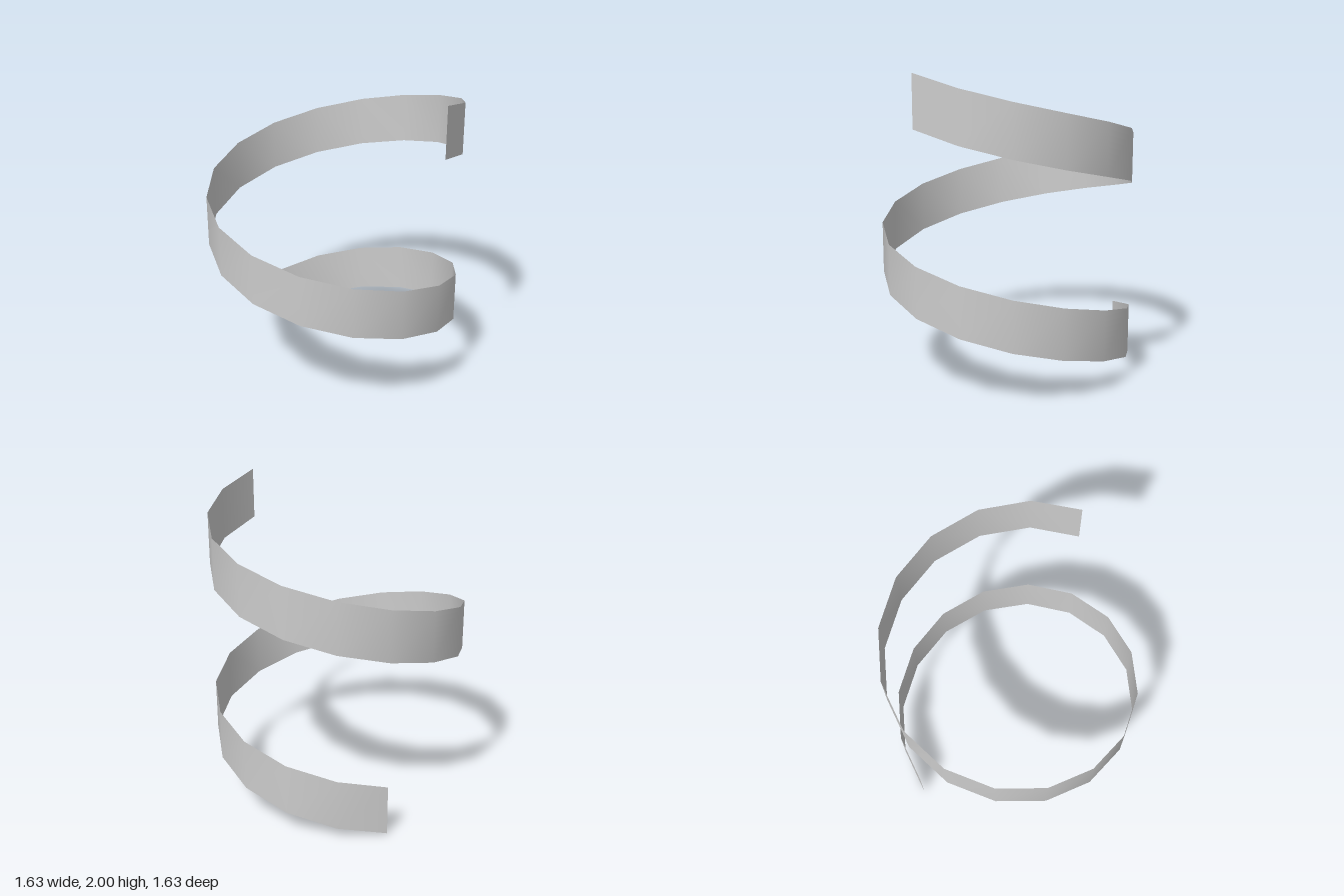
import * as THREE from 'three';

const RADIUS = 0.817;
const BAND = 0.33; // vertical width of the ribbon
const STEPS = 23; // sixteen facets per turn
const STEP_ANGLE = Math.PI / 8;
const RISE = (2 - BAND) / STEPS;

// Vertical strip swept up a helix, from just left of the back centre
function helicalRibbon() {
  const positions = [];
  const index = [];
  for (let i = 0; i <= STEPS; i++) {
    const a = (i - 1) * STEP_ANGLE;
    const x = RADIUS * Math.sin(a);
    const z = -RADIUS * Math.cos(a);
    positions.push(x, i * RISE, z, x, i * RISE + BAND, z);
    if (i < STEPS) {
      const b = i * 2;
      index.push(b, b + 1, b + 2, b + 1, b + 3, b + 2);
    }
  }
  const geometry = new THREE.BufferGeometry();
  geometry.setAttribute('position', new THREE.Float32BufferAttribute(positions, 3));
  geometry.setIndex(index);
  geometry.computeVertexNormals();
  return geometry;
}

export function createModel() {
  const group = new THREE.Group();
  const material = new THREE.MeshStandardMaterial({ color: 0xcccccc, side: THREE.DoubleSide });
  const ribbon = new THREE.Mesh(helicalRibbon(), material);
  ribbon.name = 'spiralRibbon';
  group.add(ribbon);
  return group;
}
